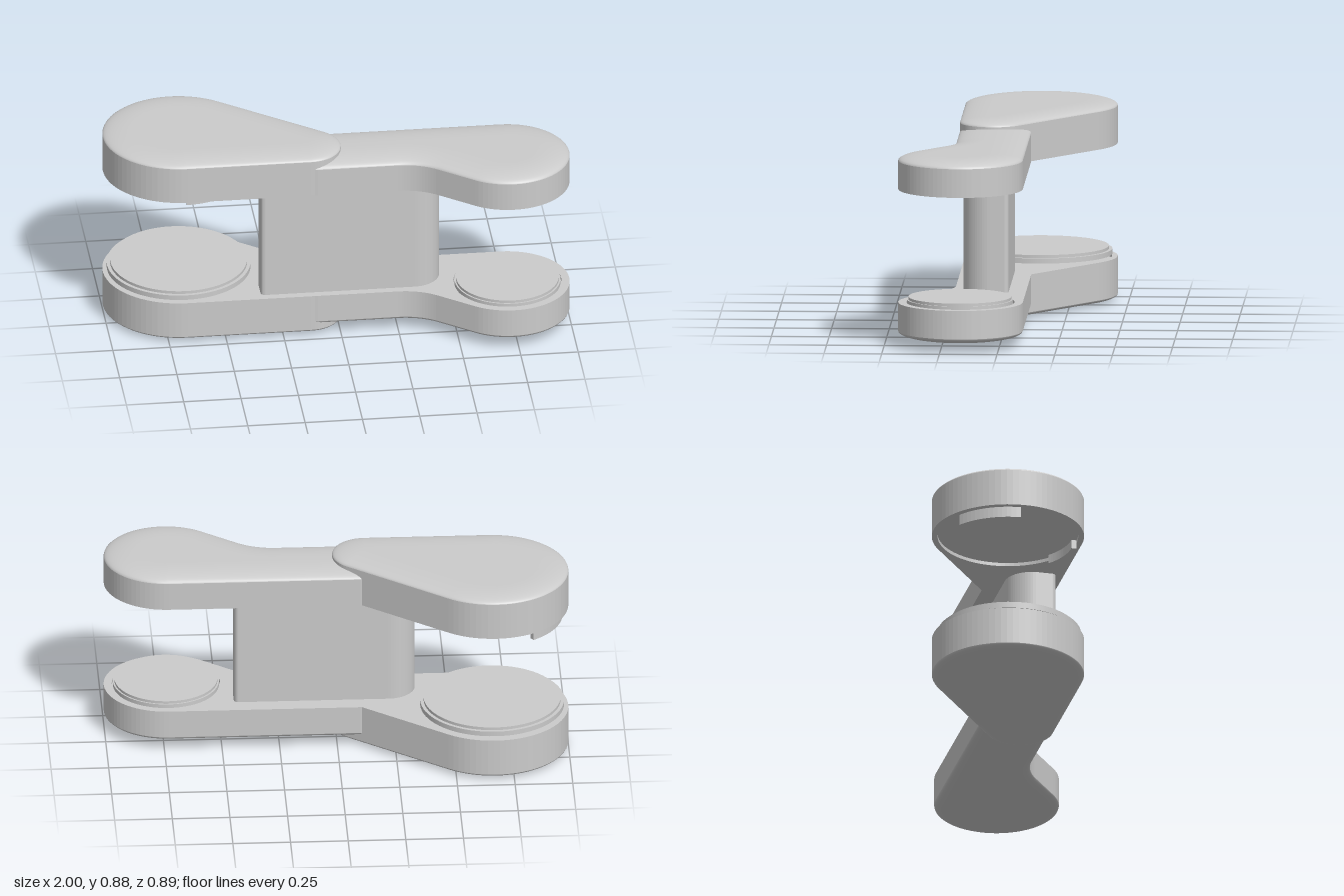
import * as THREE from 'three';

const mat = new THREE.MeshStandardMaterial({ color: 0xcccccc });
const rad = THREE.MathUtils.degToRad;
const HEIGHT = 0.875;

// Points of an arc in plan, (x, -z), angles in degrees
function arc(cx, cy, r, from, to, n) {
  return Array.from({ length: n + 1 }, (_, i) => {
    const a = rad(from + ((to - from) * i) / n);
    return new THREE.Vector2(cx + r * Math.cos(a), cy + r * Math.sin(a));
  });
}

// Plan outlines, each inset by d
const bigOutline = (d) => [
  ...arc(-0.13, -0.065, 0.145 - d, -90, 51.9, 24),
  ...arc(-0.67, 0.12, 0.33 - d, 51.9, 270, 48),
];
const smallOutline = (d) => [
  ...arc(-0.1, -0.055, 0.155 - d, 90, 270, 20),
  ...arc(0.25, -0.48, 0.27 + d, 90, 51.3, 14),
  ...arc(0.73, -0.17, 0.27 - d, 231.3, 450, 48),
];

// Upright prism of a plan shape
function prism(shape, y0, y1) {
  const g = new THREE.ExtrudeGeometry(shape, { depth: y1 - y0, bevelEnabled: false, curveSegments: 48 });
  return g.rotateX(-Math.PI / 2).translate(0, y0, 0);
}

// Shallow dome: inset rings rising on a quarter ellipse, closed by a flat centre
function dome(outline, y0, rise, inset, steps = 10) {
  const pos = [], idx = [];
  let n = 0, last;
  for (let i = 0; i <= steps; i++) {
    const t = (i / steps) * Math.PI / 2;
    last = outline(inset * (1 - Math.cos(t)));
    n = last.length;
    for (const p of last) pos.push(p.x, y0 + rise * Math.sin(t), -p.y);
  }
  for (let i = 0; i < steps; i++) {
    for (let j = 0; j < n; j++) {
      const a = i * n + j, b = i * n + ((j + 1) % n);
      idx.push(a, b, a + n, b, b + n, a + n);
    }
  }
  for (const f of THREE.ShapeUtils.triangulateShape(last, [])) idx.push(...f.map((k) => k + steps * n));
  const g = new THREE.BufferGeometry();
  g.setAttribute('position', new THREE.Float32BufferAttribute(pos, 3));
  g.setIndex(idx);
  g.computeVertexNormals();
  return g;
}

// Reflection about mid height, with the winding turned back
function mirrored(geo) {
  const g = geo.index ? geo.toNonIndexed() : geo.clone();
  g.scale(1, -1, 1).translate(0, HEIGHT, 0);
  for (const attr of Object.values(g.attributes)) {
    const s = attr.itemSize, a = attr.array;
    for (let i = 0; i < a.length; i += 3 * s) {
      for (let k = 0; k < s; k++) {
        [a[i + s + k], a[i + 2 * s + k]] = [a[i + 2 * s + k], a[i + s + k]];
      }
    }
  }
  return g;
}

export function createModel() {
  const model = new THREE.Group();
  model.name = 'doubleArmBody';
  const add = (name, geo, parent = model) => {
    const m = new THREE.Mesh(geo, mat);
    m.name = name;
    parent.add(m);
    return m;
  };
  const disc = (x, y0, y1, z, r) =>
    new THREE.CylinderGeometry(r, r, y1 - y0, 72).translate(x, (y0 + y1) / 2, z);

  // Upper and lower arms: recessed walls, recess floors and domed lobes
  const lobes = [
    { name: 'bigLobe', outline: bigOutline, x: -0.67, z: -0.12, hole: 0.305, edge: 0.85, rise: 0.025, inset: 0.13 },
    { name: 'smallLobe', outline: smallOutline, x: 0.73, z: 0.17, hole: 0.235, edge: 0.81, rise: 0.03, inset: 0.14 },
  ];
  const upper = new THREE.Group(), lower = new THREE.Group();
  upper.name = 'upperArm';
  lower.name = 'lowerArm';
  model.add(upper, lower);
  for (const l of lobes) {
    const shape = new THREE.Shape(l.outline(0));
    shape.holes.push(new THREE.Path().absarc(l.x, -l.z, l.hole, 0, Math.PI * 2, true));
    const parts = {
      Wall: prism(shape, 0.685, l.edge),
      RecessFloor: disc(l.x, 0.7, 0.76, l.z, l.hole + 0.005),
      Dome: dome(l.outline, l.edge, l.rise, l.inset),
    };
    for (const [part, geo] of Object.entries(parts)) {
      add(l.name + part, geo, upper);
      add(l.name + part, mirrored(geo), lower);
    }
  }

  // Column with two large rounded corners, diagonally opposite
  add('column', prism(new THREE.Shape([
    ...arc(-0.325, -0.155, 0.02, 180, 270, 6),
    ...arc(0.325, -0.055, 0.12, 270, 360, 16),
    ...arc(0.425, 0.005, 0.02, 0, 90, 6),
    ...arc(-0.225, -0.095, 0.12, 90, 180, 16),
  ]), 0.18, 0.695));

  // Stepped round pads over the lower arm
  add('bigPadRim', disc(-0.67, 0.2, 0.222, -0.115, 0.312));
  add('bigPad', disc(-0.67, 0.222, 0.235, -0.115, 0.297));
  add('smallPadRim', disc(0.73, 0.185, 0.203, 0.173, 0.23));
  add('smallPad', disc(0.73, 0.203, 0.215, 0.173, 0.223));

  // Curved clips hanging from the big recess
  for (const [from, to, y] of [[123, 177, 0.637], [-90, -52, 0.66]]) {
    add('recessClip', prism(new THREE.Shape([
      ...arc(-0.67, 0.12, 0.305, from, to, 14),
      ...arc(-0.67, 0.12, 0.283, to, from, 14),
    ]), y, 0.705));
  }
  return model;
}
